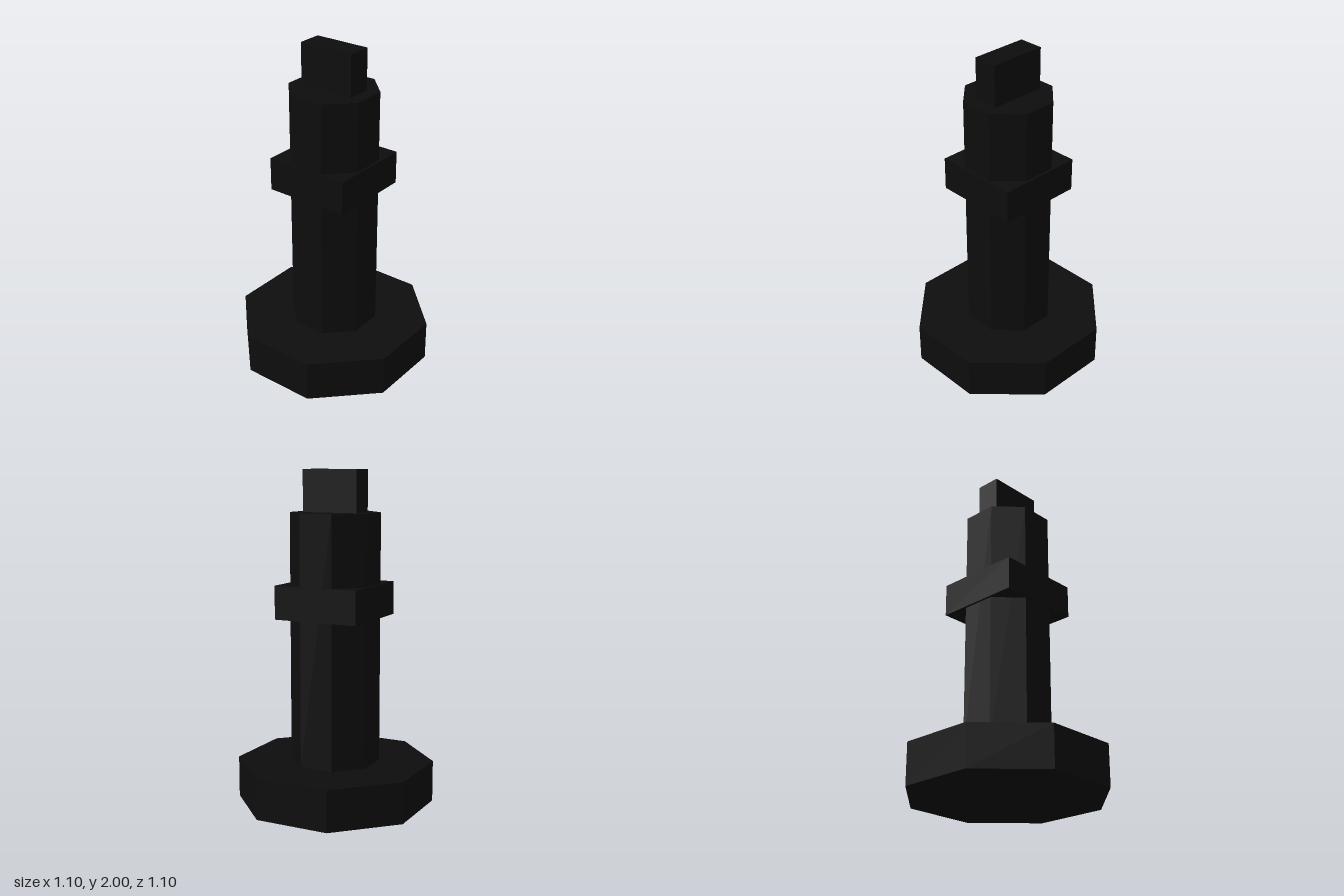
import * as THREE from 'three';

export function createModel() {
  const model = new THREE.Group();
  model.name = 'pillar';

  const black = new THREE.MeshStandardMaterial({ color: 0x0d0d0d, flatShading: true });
  black.name = 'black';

  function add(name, geometry, bottom, top) {
    const mesh = new THREE.Mesh(geometry, black);
    mesh.name = name;
    mesh.position.y = (bottom + top) / 2;
    model.add(mesh);
  }

  // Regular octagonal prism with flat sides facing the axes
  function octagon(name, halfWidth, bottom, top) {
    const radius = halfWidth / Math.cos(Math.PI / 8);
    const geometry = new THREE.CylinderGeometry(radius, radius, top - bottom, 8);
    add(name, geometry.rotateY(Math.PI / 8), bottom, top);
  }

  function block(name, width, depth, bottom, top) {
    add(name, new THREE.BoxGeometry(width, top - bottom, depth), bottom, top);
  }

  octagon('base', 0.55, 0, 0.25);
  octagon('shaft', 0.248, 0.25, 1.75);
  // Square band around the shaft
  block('collar', 0.525, 0.525, 1.13, 1.33);
  // Upright tab on the top
  block('topTab', 0.15, 0.35, 1.75, 2);

  return model;
}
